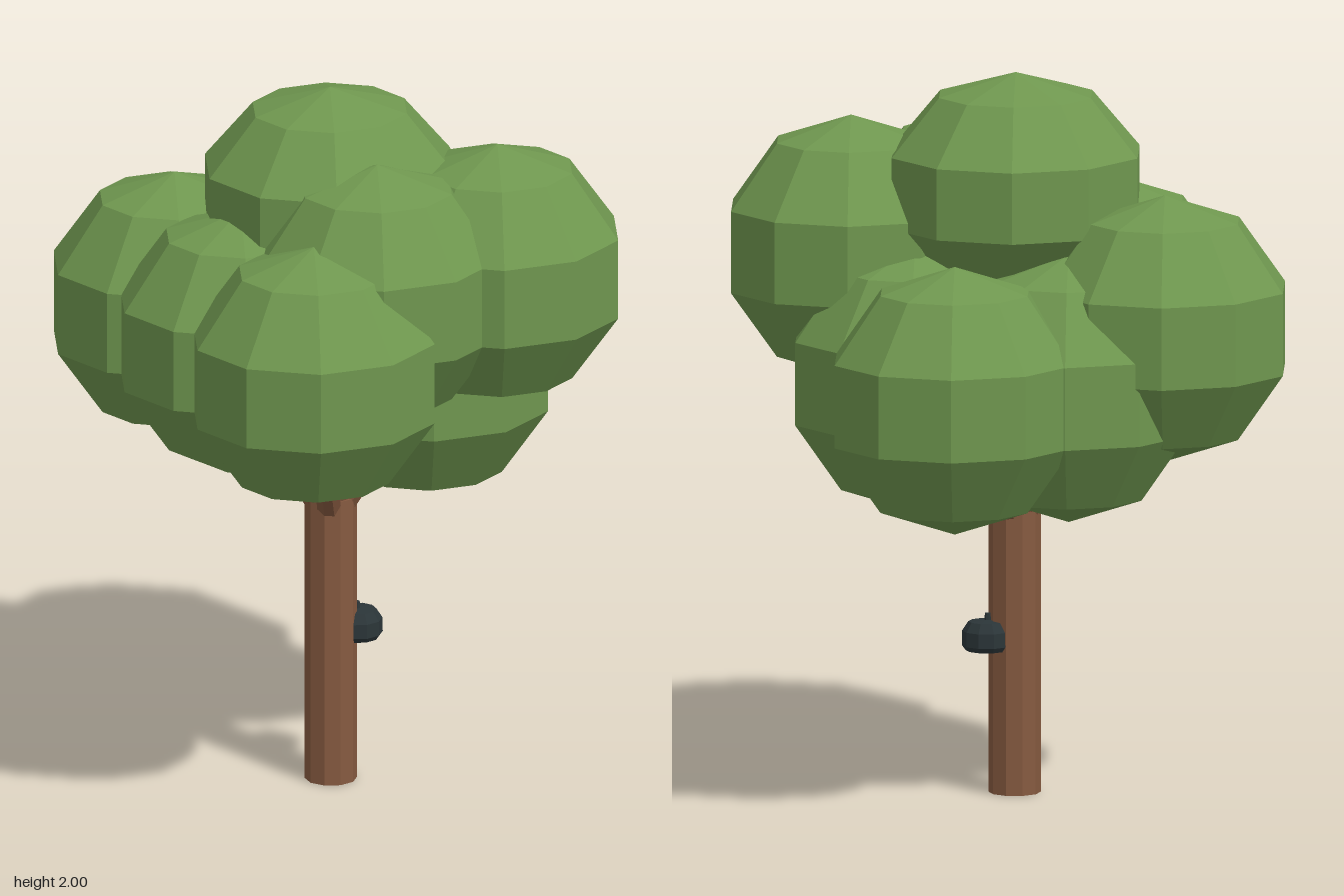
import * as THREE from 'three';

export function createModel() {
  const tree = new THREE.Group();
  tree.name = 'tree';

  const material = (name, color) => {
    const m = new THREE.MeshStandardMaterial({ color, flatShading: true });
    m.name = name;
    return m;
  };
  const leaf = material('leafGreen', 0x6f974f);
  const bark = material('barkBrown', 0x865a40);
  const iron = material('darkIron', 0x2b3538);

  const add = (name, geometry, mat, x = 0, y = 0, z = 0) => {
    const mesh = new THREE.Mesh(geometry, mat);
    mesh.name = name;
    mesh.position.set(x, y, z);
    tree.add(mesh);
    return mesh;
  };

  const trunkX = -0.027, trunkZ = -0.02;

  // Straight trunk
  add('trunk', new THREE.CylinderGeometry(0.072, 0.072, 0.82, 10), bark, trunkX, 0.41, trunkZ);

  // Leaf clumps: x, y, z of each centre and its half height
  const clumps = [
    [-0.03, 1.68, -0.02, 0.32],
    [0.367, 1.495, 0.222, 0.366],
    [-0.003, 1.495, 0.26, 0.366],
    [-0.241, 1.325, 0.388, 0.37],
    [-0.31, 1.325, 0.025, 0.37],
    [-0.36, 1.325, -0.338, 0.37],
    [0.257, 1.165, -0.39, 0.372],
    [0.257, 1.165, -0.02, 0.372],
    [-0.098, 1.165, -0.295, 0.372],
  ];
  const ball = new THREE.SphereGeometry(1, 10, 5);
  const up = new THREE.Vector3(0, 1, 0);

  for (const [x, y, z, halfHeight] of clumps) {
    const wide = y > 1.6 ? 0.373 : 0.361;
    add('leafClump', ball, leaf, x, y, z).scale.set(wide, halfHeight, wide * 0.965);

    // Branch from the trunk top into the clump
    const end = new THREE.Vector3(x, y, z);
    const start = new THREE.Vector3(trunkX, 0.77, trunkZ);
    const dir = end.clone().sub(start).normalize();
    start.x += dir.x * 0.03;
    start.z += dir.z * 0.03;
    const run = end.clone().sub(start);
    const branch = add('branch', new THREE.CylinderGeometry(0.028, 0.036, run.length(), 8), bark);
    branch.position.copy(start).addScaledVector(run, 0.5);
    branch.quaternion.setFromUnitVectors(up, run.normalize());
  }

  // Domed bell on the side of the trunk, with a small knob
  const profile = [[0, 0.398], [0.058, 0.398], [0.068, 0.412], [0.067, 0.452], [0.05, 0.478], [0, 0.483]]
    .map(([r, y]) => new THREE.Vector2(r, y));
  add('bell', new THREE.LatheGeometry(profile, 10), iron, 0.053, 0, -0.02);
  add('bellKnob', new THREE.CylinderGeometry(0.008, 0.01, 0.025, 8), iron, 0.05, 0.488, -0.02);

  return tree;
}
